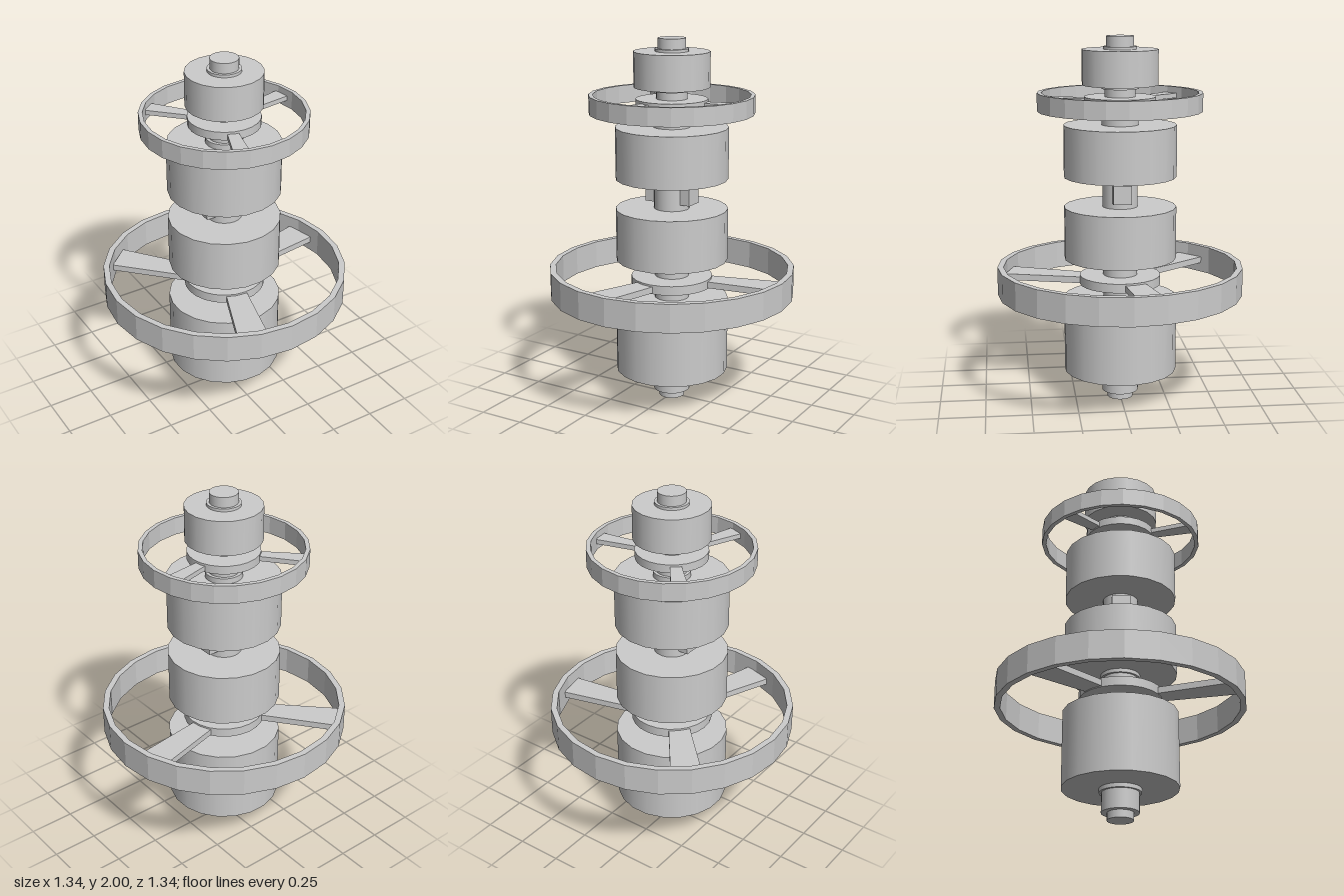
import * as THREE from 'three';

const material = new THREE.MeshStandardMaterial({ color: 0xcccccc });

export function createModel() {
  const model = new THREE.Group();

  function add(parent, name, geometry) {
    const mesh = new THREE.Mesh(geometry, material);
    mesh.name = name;
    parent.add(mesh);
    return mesh;
  }

  // Upright cylinder from y0 to y1
  function disc(parent, name, radius, y0, y1, sides = 24) {
    const mesh = add(parent, name, new THREE.CylinderGeometry(radius, radius, y1 - y0, sides));
    mesh.position.y = (y0 + y1) / 2;
    if (sides === 20) mesh.rotation.y = Math.PI / 20;
    return mesh;
  }

  // Flat outline in x, z extruded from y0 to y1
  function slab(parent, name, shape, y0, y1) {
    const geometry = new THREE.ExtrudeGeometry(shape, { depth: y1 - y0, bevelEnabled: false });
    geometry.rotateX(-Math.PI / 2);
    geometry.translate(0, y0, 0);
    return add(parent, name, geometry);
  }

  function polygon(radius, sides) {
    return Array.from({ length: sides }, (_, i) => {
      const a = (i / sides) * Math.PI * 2;
      return new THREE.Vector2(Math.cos(a) * radius, Math.sin(a) * radius);
    });
  }

  // Central axle with its steps and collars
  const axle = new THREE.Group();
  axle.name = 'axle';
  model.add(axle);
  [
    ['bottomPin', 0.07, 0, 0.04],
    ['bottomJournal', 0.1, 0.04, 0.145],
    ['bottomCollar', 0.112, 0.145, 0.167],
    ['lowerShaft', 0.093, 0.58, 0.78],
    ['lowerCollar', 0.106, 0.78, 0.8],
    ['middleShaft', 0.096, 1.085, 1.25],
    ['upperCollar', 0.1, 1.53, 1.56],
    ['upperShaft', 0.083, 1.56, 1.725],
    ['capCollar', 0.1, 1.722, 1.742],
    ['topCollar', 0.09, 1.93, 1.945],
    ['topPin', 0.075, 1.945, 2],
  ].forEach(([name, radius, y0, y1]) => disc(axle, name, radius, y0, y1));

  // Solid drums
  disc(model, 'bottomDrum', 0.309, 0.167, 0.58, 20);
  disc(model, 'lowerMiddleDrum', 0.305, 0.8, 1.085, 20);
  disc(model, 'upperMiddleDrum', 0.305, 1.25, 1.53, 20);
  disc(model, 'topDrum', 0.204, 1.742, 1.93, 20);

  // Square lugs on both sides of the middle shaft
  for (const side of [-1, 1]) {
    const lug = add(model, side > 0 ? 'leftLug' : 'rightLug', new THREE.BoxGeometry(0.07, 0.1, 0.1));
    lug.position.set(side * 0.102, 1.168, 0);
  }

  // Ring wheel: rim, hub and three tapered spokes
  function wheel(name, w) {
    const group = new THREE.Group();
    group.name = name;
    model.add(group);
    const rim = new THREE.Shape(polygon(w.outer, 24));
    rim.holes.push(new THREE.Path(polygon(w.inner, 24)));
    slab(group, 'rim', rim, w.rim[0], w.rim[1]);
    disc(group, 'hub', w.hubRadius, w.hub[0], w.hub[1]);
    const outline = new THREE.Shape(w.spoke.map(([x, y]) => new THREE.Vector2(x, y)));
    for (let i = 0; i < 3; i++) {
      const spoke = slab(group, 'spoke', outline, w.spokeY[0], w.spokeY[1]);
      spoke.rotation.y = (i * Math.PI * 2) / 3;
    }
  }

  wheel('largeWheel', {
    outer: 0.67, inner: 0.637, rim: [0.607, 0.76],
    hubRadius: 0.222, hub: [0.655, 0.705], spokeY: [0.66, 0.695],
    spoke: [[0.15, -0.003], [0.63, 0.061], [0.595, 0.224], [0.13, 0.104]],
  });
  wheel('smallWheel', {
    outer: 0.443, inner: 0.42, rim: [1.605, 1.703],
    hubRadius: 0.193, hub: [1.635, 1.68], spokeY: [1.642, 1.668],
    spoke: [[0.12, 0.001], [0.422, 0.04], [0.404, 0.127], [0.11, 0.051]],
  });

  return model;
}
